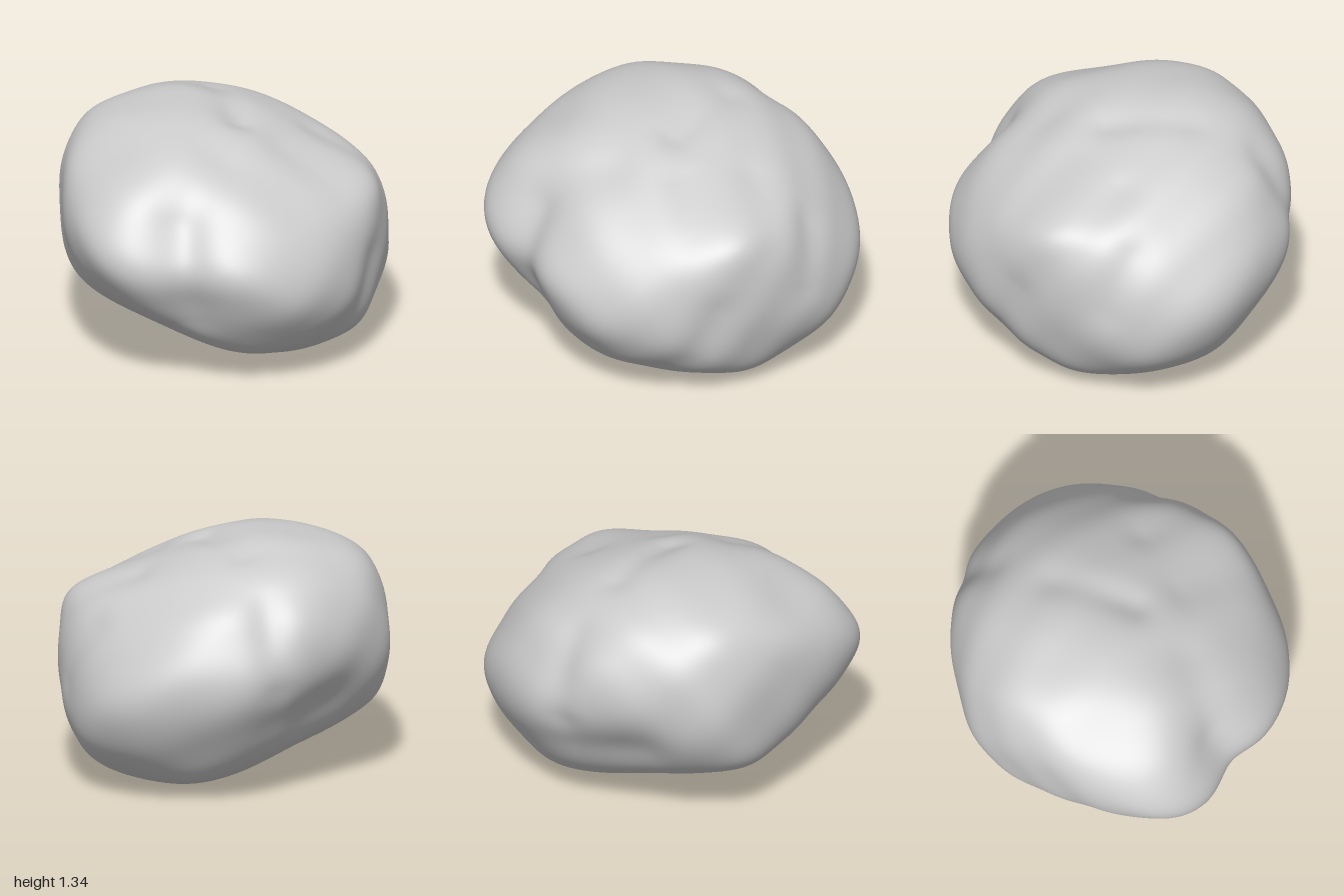
import * as THREE from 'three';
import { mergeVertices } from 'three/addons/utils/BufferGeometryUtils.js';

const V = (x, y, z) => new THREE.Vector3(x, y, z);
const CENTRE = V(0, 0.68, 0);

// Guide outlines: a plane (right, up) and a few points of the closed curve bounding the boulder in it
const A = THREE.MathUtils.degToRad(35), E = THREE.MathUtils.degToRad(22);
const s = Math.sin(A), c = Math.cos(A), se = Math.sin(E), ce = Math.cos(E);
const OUTLINES = [
  [V(1, 0, 0), V(0, 1, 0),
    [-1, .78, -.83, 1.08, -.13, 1.36, .55, 1.17, .87, .85, 1, .53, .8, .18, .33, 0, -.4, .2, -.8, .45]],
  [V(0, 0, -1), V(0, 1, 0),
    [-.91, .55, -.75, .93, -.5, 1.12, .2, 1.36, .75, 1.2, .91, .85, .78, .47, .45, .14, 0, .01, -.55, .09, -.84, .36]],
  [V(1, 0, 0), V(0, 0, -1),
    [-1, -.15, -.8, .4, -.4, .84, .15, .91, .68, .7, .93, .36, 1, .03, .8, -.45, .25, -.83, -.15, -.9, -.55, -.73]],
  [V(c, 0, -s), V(-s * se, ce, -c * se),
    [-.97, .79, -.77, 1.16, .18, 1.44, .74, 1.13, .98, .5, .68, -.02, .12, -.17, -.49, -.03, -.86, .44]],
  [V(-c, 0, s), V(s * se, ce, c * se),
    [-.98, .65, -.7, 1.09, -.25, 1.23, .49, 1.15, .97, .57, .77, .25, .22, .05, -.26, .02, -.67, .11]],
  [V(-c, 0, -s), V(s * se, ce, -c * se),
    [-.89, .55, -.74, 1, .28, 1.43, .67, 1.31, .9, .75, .59, .11, -.33, -.13, -.58, -.06, -.8, .22]],
];

// Grooves: from, to, width, depth
const GROOVES = [
  [V(-.68, .4, .55), V(-.72, .95, .52), .16, .06],  // notch beside the front lobe
  [V(-.65, 1.02, .42), V(-.3, 1.18, .35), .15, .02], // its fading end on top
  [V(.44, .7, -.8), V(.42, 1.15, -.72), .11, .03],  // notch at the back
  [V(.35, .5, -.75), V(0, .5, -.85), .18, .035],    // hollow low on the back
  [V(.2, 1.25, -.35), V(.03, 1.28, .08), .1, .03],  // valley across the top
  [V(.12, 1.15, .35), V(.25, .95, .6), .12, .015],  // pits on the upper flank
  [V(.5, 1.15, .18), V(.6, .9, .45), .11, .018],
  [V(.78, .9, .2), V(.83, .6, .35), .1, .014],
  [V(.3, .3, .8), V(.42, .6, .75), .12, .015],      // crease low on the front
];

// Turn the outlines into tangent planes with their distances from the centre
function tangentPlanes(steps) {
  const planes = [];
  for (const [right, up, xy] of OUTLINES) {
    const knots = [];
    for (let i = 0; i < xy.length; i += 2) knots.push(V(xy[i], xy[i + 1], 0));
    const loop = new THREE.CatmullRomCurve3(knots, true).getPoints(80);
    for (let k = 0; k < steps; k++) {
      const a = (k / steps) * Math.PI * 2, side = V(Math.cos(a), Math.sin(a), 0);
      const n = right.clone().multiplyScalar(side.x).addScaledVector(up, side.y);
      const target = Math.max(...loop.map((p) => p.dot(side))) - n.dot(CENTRE);
      planes.push({ n, target, h: target });
    }
  }
  return planes;
}

// Soft intersection of the planes along direction d
const SHARPNESS = 15;
function radius(d, planes) {
  let sum = 0;
  for (const { n, h } of planes) {
    const q = n.dot(d) / h;
    if (q > 0) sum += Math.pow(q, SHARPNESS);
  }
  return Math.pow(sum, -1 / SHARPNESS);
}

// Relax the plane distances until the soft body touches every outline
function relax(planes) {
  const probe = new THREE.IcosahedronGeometry(1, 14).attributes.position;
  const dirs = [];
  for (let i = 0; i < probe.count; i += 2) dirs.push(V().fromBufferAttribute(probe, i));
  for (let pass = 0; pass < 10; pass++) {
    const pts = dirs.map((d) => d.clone().multiplyScalar(radius(d, planes)));
    for (const p of planes) {
      let reach = 0;
      for (const q of pts) reach = Math.max(reach, q.dot(p.n));
      p.h *= THREE.MathUtils.clamp(p.target / reach, 0.93, 1.07);
    }
  }
}

// Gentle lumpy relief
function relief(p) {
  return 0.007 * Math.sin(7 * p.x + 3 * p.y + 1) * Math.sin(6 * p.z - 4 * p.y + 2)
    + 0.005 * Math.sin(13 * p.x - 5 * p.z) * Math.sin(12 * p.y + 6 * p.z + 0.5);
}

export function createModel() {
  const planes = tangentPlanes(24);
  relax(planes);

  // Smooth ball whose vertices move out to the soft body
  let geo = new THREE.IcosahedronGeometry(1, 36);
  geo.deleteAttribute('uv');
  geo.deleteAttribute('normal');
  geo = mergeVertices(geo, 1e-5);

  const pos = geo.attributes.position;
  const d = V(), p = V(), near = V(), line = new THREE.Line3();
  for (let i = 0; i < pos.count; i++) {
    d.fromBufferAttribute(pos, i).normalize();
    p.copy(d).multiplyScalar(radius(d, planes)).add(CENTRE);
    let offset = relief(p);
    for (const [from, to, width, depth] of GROOVES) {
      line.set(from, to).closestPointToPoint(p, true, near);
      offset -= depth * Math.exp(-near.distanceToSquared(p) / (width * width));
    }
    p.addScaledVector(d, offset);
    pos.setXYZ(i, p.x, p.y, p.z);
  }

  // Rest the underside on the ground
  geo.computeBoundingBox();
  geo.translate(0, -geo.boundingBox.min.y, 0);
  geo.computeVertexNormals();

  const boulder = new THREE.Mesh(geo, new THREE.MeshStandardMaterial({ color: 0xcccccc }));
  boulder.name = 'boulder';
  const group = new THREE.Group();
  group.name = 'rock';
  group.add(boulder);
  return group;
}
